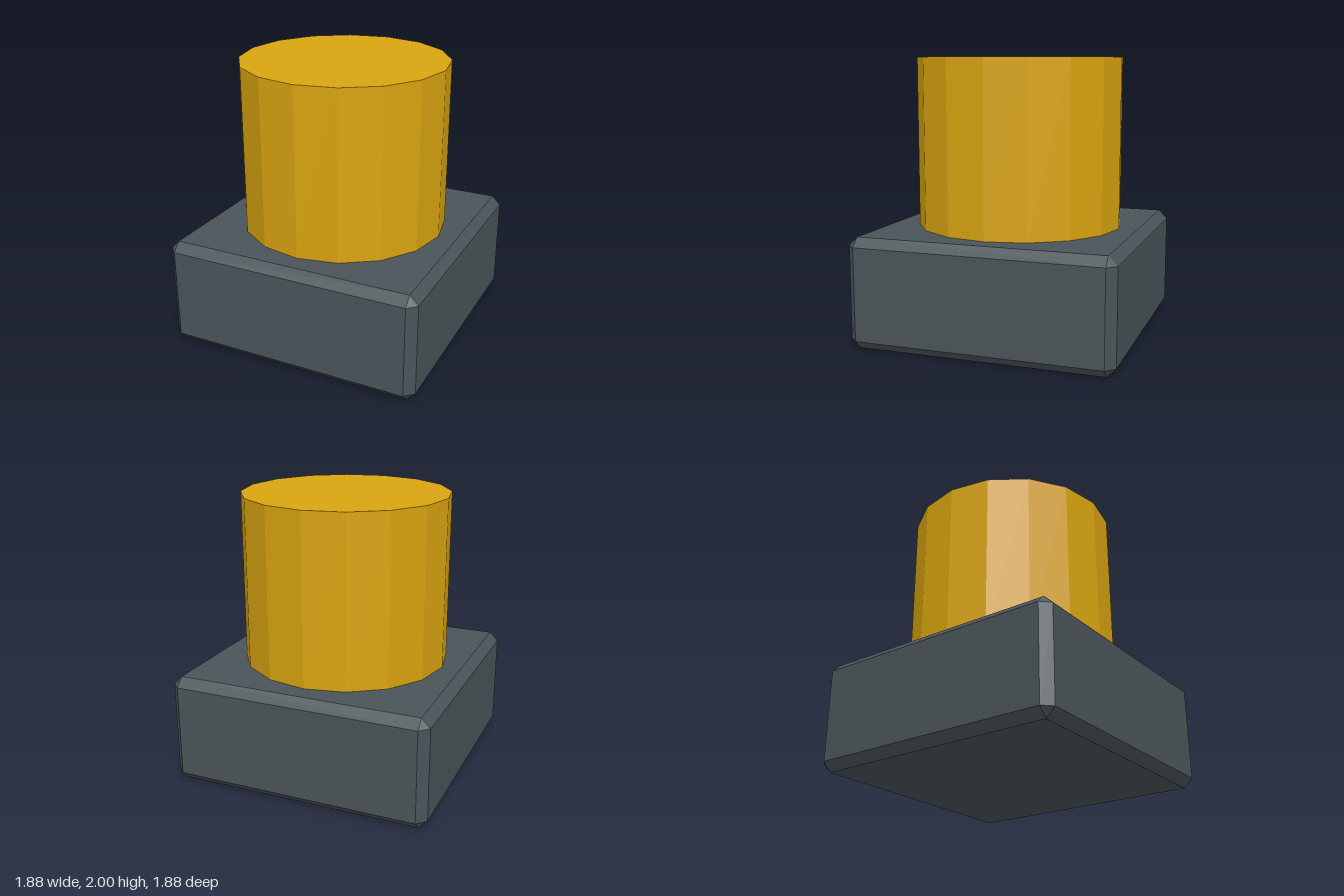
import * as THREE from 'three';
import { ConvexGeometry } from 'three/addons/geometries/ConvexGeometry.js';

// Box with every edge and corner cut by a flat chamfer
function chamferedBox(w, h, d, c) {
  const points = [];
  for (const sx of [-1, 1]) for (const sy of [-1, 1]) for (const sz of [-1, 1]) {
    const x = w / 2, y = h / 2, z = d / 2;
    points.push(
      new THREE.Vector3(sx * x, sy * (y - c), sz * (z - c)),
      new THREE.Vector3(sx * (x - c), sy * y, sz * (z - c)),
      new THREE.Vector3(sx * (x - c), sy * (y - c), sz * z)
    );
  }
  return new ConvexGeometry(points);
}

export function createModel() {
  const model = new THREE.Group();
  model.name = 'pegBlock';

  const slate = new THREE.MeshStandardMaterial({ color: 0x4a5459, flatShading: true });
  slate.name = 'slate grey';
  const gold = new THREE.MeshStandardMaterial({ color: 0xd9a410, flatShading: true });
  gold.name = 'golden yellow';

  // Square base block
  const baseHeight = 0.785;
  const base = new THREE.Mesh(chamferedBox(1.88, baseHeight, 1.88, 0.063), slate);
  base.name = 'base';
  base.position.y = baseHeight / 2;
  model.add(base);

  // Sixteen-sided post on top
  const postHeight = 2 - baseHeight;
  const post = new THREE.Mesh(new THREE.CylinderGeometry(0.745, 0.745, postHeight, 16), gold);
  post.name = 'post';
  post.position.y = baseHeight + postHeight / 2;
  model.add(post);

  return model;
}
